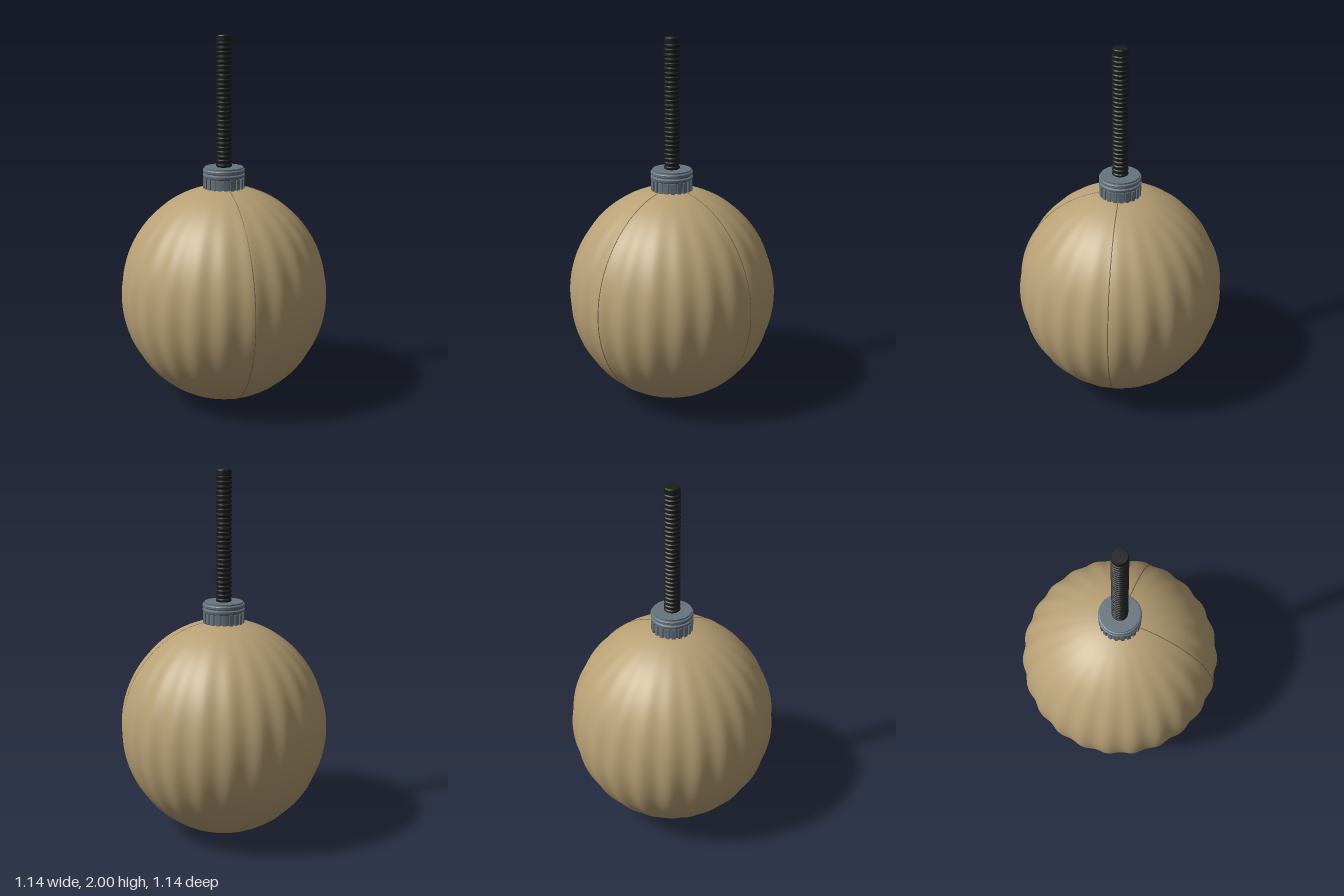
import * as THREE from 'three';
import { mergeVertices, toCreasedNormals } from 'three/addons/utils/BufferGeometryUtils.js';

const R = 0.563, H = 0.6;
const tan = new THREE.MeshStandardMaterial({ color: 0xb8a075 });
tan.name = 'tan';
const seamBrown = new THREE.MeshStandardMaterial({ color: 0x7d6a48 });
seamBrown.name = 'seam brown';
const slate = new THREE.MeshStandardMaterial({ color: 0x67747f });
slate.name = 'slate grey';
const black = new THREE.MeshStandardMaterial({ color: 0x1c1c1c });
black.name = 'black';

function add(parent, name, geometry, material) {
  const mesh = new THREE.Mesh(geometry, material);
  mesh.name = name;
  parent.add(mesh);
  return mesh;
}

// Point on the pleated body: a runs from +z towards +x, p down from the top pole
function bodyPoint(a, p, lift = 0) {
  const s = Math.sin(p);
  const r = s * (R + lift + 0.006 * s * s * Math.cos(23 * a));
  return new THREE.Vector3(r * Math.sin(a), H + (H + lift) * Math.cos(p), r * Math.cos(a));
}

function lathe(points, segments) {
  const g = new THREE.LatheGeometry(points.map(([r, y]) => new THREE.Vector2(r, y)), segments);
  return toCreasedNormals(g, 0.5);
}

export function createModel() {
  const group = new THREE.Group();

  // Body: a tall sphere with 23 shallow pleats
  const sphere = new THREE.SphereGeometry(1, 230, 56);
  sphere.deleteAttribute('uv');
  sphere.deleteAttribute('normal');
  const body = mergeVertices(sphere, 1e-5);
  const pos = body.attributes.position;
  for (let i = 0; i < pos.count; i++) {
    const p = Math.acos(THREE.MathUtils.clamp(pos.getY(i), -1, 1));
    const v = bodyPoint(Math.atan2(pos.getX(i), pos.getZ(i)), p);
    pos.setXYZ(i, v.x, v.y, v.z);
  }
  body.computeVertexNormals();
  add(group, 'body', body, tan);

  // Two seams, at the front and on the left side
  for (const [name, angle] of [['frontSeam', 0], ['leftSeam', Math.PI / 2 - 0.015]]) {
    const path = [];
    for (let i = 0; i <= 32; i++) path.push(bodyPoint(angle, 0.12 + (Math.PI - 0.12) * i / 32, -0.001));
    add(group, name, new THREE.TubeGeometry(new THREE.CatmullRomCurve3(path), 96, 0.003, 6), seamBrown);
  }

  // Collar: core, then two turned rings at the rim
  const collar = new THREE.Group();
  collar.name = 'collar';
  group.add(collar);
  add(collar, 'collarCore', lathe([
    [0, 1.17], [0.105, 1.17], [0.105, 1.245], [0.112, 1.25], [0.114, 1.256], [0.114, 1.264],
    [0.106, 1.269], [0.106, 1.273], [0.114, 1.278], [0.114, 1.289], [0.111, 1.293],
    [0.105, 1.295], [0.105, 1.303], [0, 1.303],
  ], 48), slate);

  // Grip ribs round the lower collar
  const ribs = 20;
  for (let i = 0; i < ribs; i++) {
    const a = (i + 0.5) / ribs * Math.PI * 2;
    const rib = add(collar, 'gripRib', new THREE.BoxGeometry(0.02, 0.064, 0.012), slate);
    rib.position.set(0.106 * Math.sin(a), 1.213, 0.106 * Math.cos(a));
    rib.rotation.y = a;
  }

  // Stem: a ridged flexible tube with a plain end
  const profile = [[0, 1.29], [0.037, 1.29]];
  const ridges = 28, bottom = 1.3, step = 0.67 / ridges;
  for (let i = 0; i < ridges; i++) {
    const y = bottom + i * step;
    profile.push([0.037, y + 0.003], [0.043, y + 0.008], [0.043, y + 0.016], [0.037, y + 0.021]);
  }
  profile.push([0.04, 1.972], [0.04, 1.996], [0.037, 2], [0, 2]);
  add(group, 'stem', lathe(profile, 32), black);

  return group;
}
